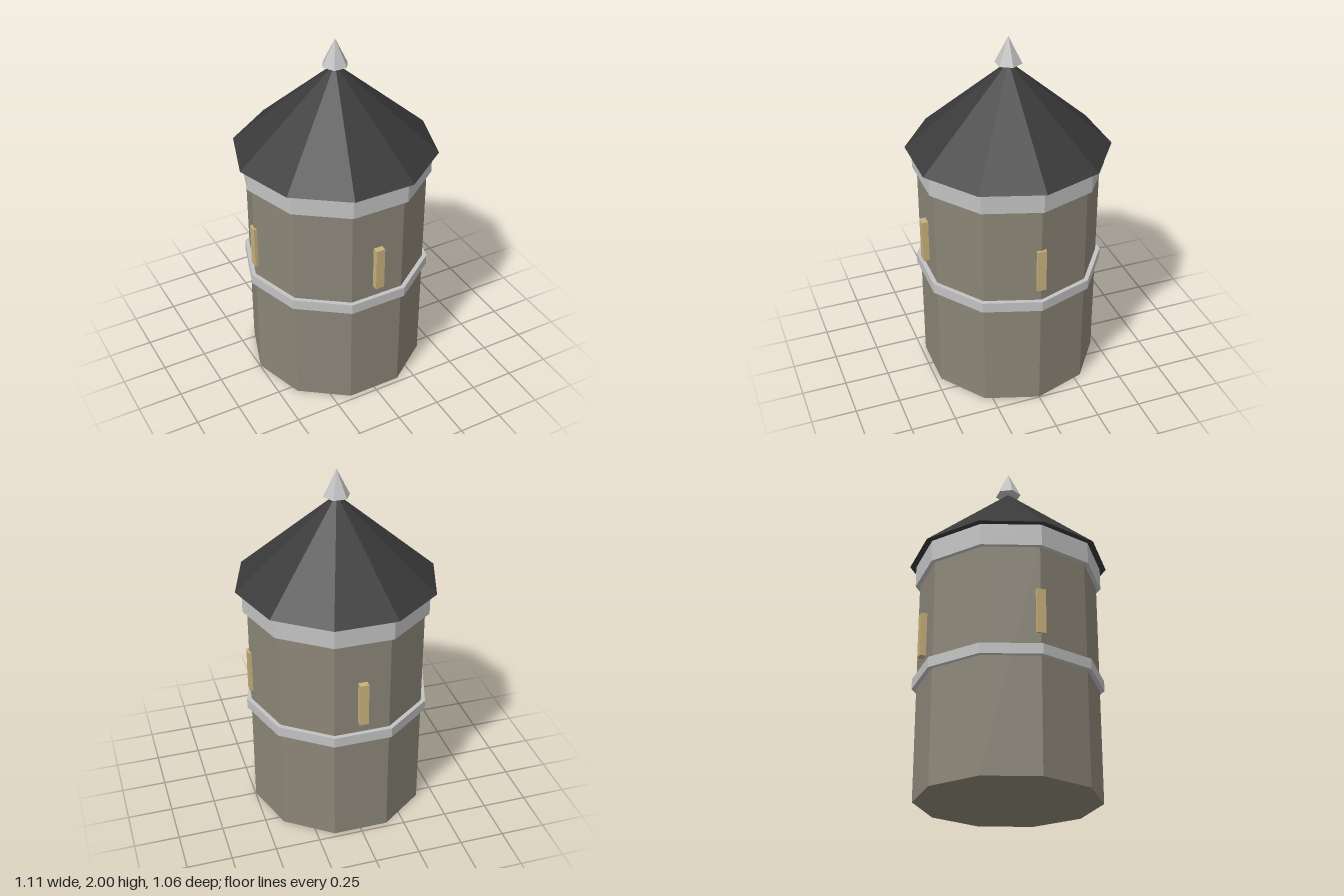
import * as THREE from 'three';

export function createModel() {
  const tower = new THREE.Group();
  tower.name = 'tower';

  const paint = (name, color) => {
    const m = new THREE.MeshStandardMaterial({ color, flatShading: true });
    m.name = name;
    return m;
  };
  const stone = paint('stone', 0x8b8577);
  const trim = paint('paleTrim', 0xc2c2c2);
  const slate = paint('darkSlate', 0x3a3a3a);
  const glow = paint('windowTan', 0xc8b07c);

  // Upright prism or cone between two heights, with a corner on the x axis
  const prism = (name, material, rTop, rBottom, y0, y1, sides = 10) => {
    const geo = rTop === 0
      ? new THREE.ConeGeometry(rBottom, y1 - y0, sides, 1, false, Math.PI / 2)
      : new THREE.CylinderGeometry(rTop, rBottom, y1 - y0, sides, 1, false, Math.PI / 2);
    const mesh = new THREE.Mesh(geo, material);
    mesh.name = name;
    mesh.position.y = (y0 + y1) / 2;
    tower.add(mesh);
  };

  prism('wall', stone, 0.497, 0.497, 0, 1.26);
  prism('middleBand', trim, 0.522, 0.522, 0.627, 0.685);
  prism('cornice', trim, 0.522, 0.522, 1.248, 1.371);
  prism('roof', slate, 0, 0.557, 1.371, 1.862);
  prism('finial', trim, 0, 0.073, 1.853, 2, 6);

  // Four narrow windows, one on each side
  for (let i = 0; i < 4; i++) {
    const pane = new THREE.Mesh(new THREE.BoxGeometry(0.05, 0.248, 0.05), glow);
    pane.name = 'window';
    const a = i * Math.PI / 2;
    pane.position.set(Math.sin(a) * 0.482, 0.875, Math.cos(a) * 0.482);
    pane.rotation.y = a;
    tower.add(pane);
  }

  return tower;
}
